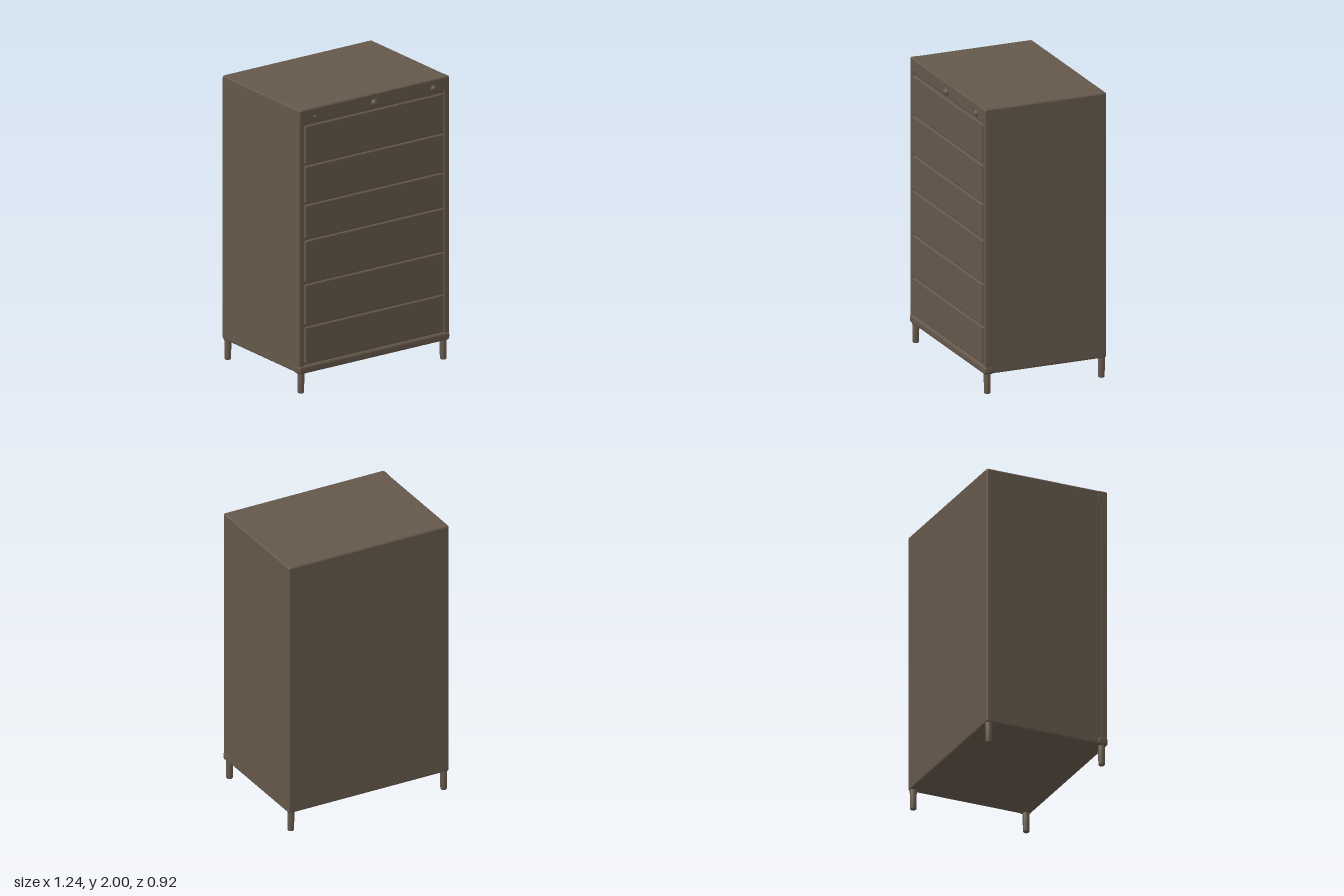
import * as THREE from 'three';
import { RoundedBoxGeometry } from 'three/addons/geometries/RoundedBoxGeometry.js';

const wood = new THREE.MeshStandardMaterial({ color: 0x64574a });
wood.name = 'brown wood';

export function createModel() {
  const model = new THREE.Group();
  model.name = 'chestOfDrawers';

  const add = (name, geometry, x = 0, y = 0, z = 0) => {
    const mesh = new THREE.Mesh(geometry, wood);
    mesh.name = name;
    mesh.position.set(x, y, z);
    model.add(mesh);
    return mesh;
  };

  // Rounded box given by its lower and upper limits
  const block = (name, [x0, x1], [y0, y1], [z0, z1], radius) =>
    add(name, new RoundedBoxGeometry(x1 - x0, y1 - y0, z1 - z0, 3, radius),
      (x0 + x1) / 2, (y0 + y1) / 2, (z0 + z1) / 2);

  // Closed body behind the drawer fronts
  block('body', [-0.612, 0.612], [0.14, 2], [-0.457, 0.42], 0.014);

  // Front frame: top rail, base rail and two stiles
  block('topRail', [-0.614, 0.614], [1.9, 2], [0.36, 0.432], 0.012);
  block('baseRail', [-0.618, 0.618], [0.137, 0.197], [0.36, 0.437], 0.02);
  for (const side of [-1, 1]) {
    const xs = side < 0 ? [-0.614, -0.574] : [0.574, 0.614];
    block('stile', xs, [0.16, 1.97], [0.38, 0.429], 0.008);
  }

  // Six drawer fronts with narrow grooves between them
  const grooves = [0.2, 0.47, 0.77, 1.08, 1.33, 1.605, 1.89];
  for (let i = 0; i < grooves.length - 1; i++) {
    block('drawerFront', [-0.568, 0.568], [grooves[i] + 0.007, grooves[i + 1] - 0.007],
      [0.39, 0.435], 0.009);
  }

  // Knobs on the top rail
  for (const [x, r, z] of [[-0.49, 0.011, 0.432], [-0.007, 0.025, 0.437], [0.48, 0.021, 0.436]]) {
    const knob = add('knob', new THREE.SphereGeometry(r, 20, 14), x, 1.937, z);
    knob.scale.z = 0.85;
  }

  // Four slim round legs with softened feet
  const profile = [[0, 0], [0.018, 0], [0.022, 0.005], [0.024, 0.15], [0, 0.15]]
    .map(([r, y]) => new THREE.Vector2(r, y));
  for (const x of [-0.583, 0.583])
    for (const z of [-0.43, 0.402])
      add('leg', new THREE.LatheGeometry(profile, 20), x, 0, z);

  return model;
}
